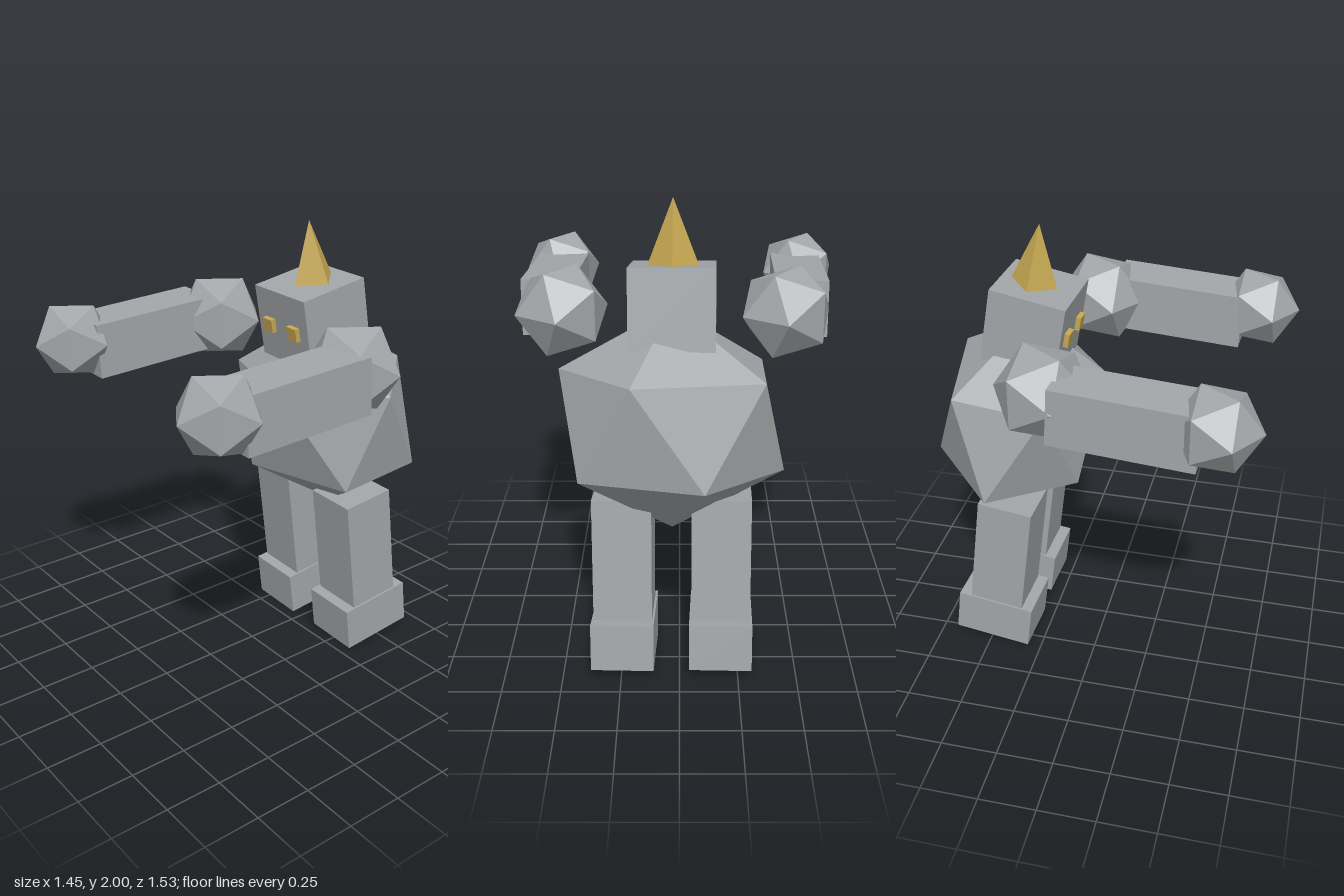
import * as THREE from 'three';
import { ConvexGeometry } from 'three/addons/geometries/ConvexGeometry.js';

export function createModel() {
  const model = new THREE.Group();
  model.name = 'stoneGolem';
  const stone = new THREE.MeshStandardMaterial({ name: 'stoneGrey', color: 0xa3a6a9, flatShading: true });
  const gold = new THREE.MeshStandardMaterial({ name: 'gold', color: 0xc6a852, flatShading: true });

  function add(parent, name, geometry, material, pos, rot = [0, 0, 0]) {
    const mesh = new THREE.Mesh(geometry, material);
    mesh.name = name;
    mesh.position.set(...pos);
    mesh.rotation.set(...rot);
    parent.add(mesh);
    return mesh;
  }
  const box = (w, h, d) => new THREE.BoxGeometry(w, h, d);
  const YAW = -0.035;

  // torso: stretched icosahedron, six corners and their opposites
  const corners = [
    [0, 0.47, 0.055], [0.13, 0.17, 0.36], [0.465, 0.21, 0.04],
    [0.16, 0.25, -0.3], [-0.37, 0.23, -0.19], [-0.38, 0.19, 0.21],
  ].map((p) => new THREE.Vector3(...p));
  const hull = new ConvexGeometry([...corners, ...corners.map((p) => p.clone().negate())]);
  add(model, 'torso', hull, stone, [0.03, 1.1, -0.4]);

  // head with two raised eyes
  const head = new THREE.Group();
  head.name = 'head';
  head.position.set(0.025, 1.568, -0.322);
  head.rotation.set(0.172, YAW, 0);
  model.add(head);
  add(head, 'skull', box(0.347, 0.33, 0.335), stone, [0, 0, 0]);
  for (const s of [-1, 1]) {
    add(head, s > 0 ? 'leftEye' : 'rightEye', box(0.063, 0.061, 0.05), gold, [s * 0.085, 0, 0.165]);
  }

  // four-sided horn
  add(model, 'horn', new THREE.ConeGeometry(0.105, 0.272, 4), gold, [0.025, 1.864, -0.304], [0.12, YAW, 0]);

  // arms stretched forwards: shoulder, forearm and fist
  const boulder = (r) => new THREE.IcosahedronGeometry(r, 0).rotateY(0.98);
  const arms = [
    { side: 'left', shoulder: [0.497, 1.49, -0.13], arm: [0.553, 1.463, 0.23], fist: [0.56, 1.482, 0.593] },
    { side: 'right', shoulder: [-0.45, 1.49, -0.155], arm: [-0.532, 1.463, 0.21], fist: [-0.563, 1.482, 0.563] },
  ];
  for (const a of arms) {
    add(model, a.side + 'Shoulder', boulder(0.207), stone, a.shoulder);
    add(model, a.side + 'Arm', box(0.225, 0.245, 0.6), stone, a.arm, [0.055, YAW, 0]);
    add(model, a.side + 'Fist', boulder(0.182), stone, a.fist);
  }

  // legs and feet, leaning back
  for (const s of [-1, 1]) {
    const side = s > 0 ? 'left' : 'right';
    const x = 0.029 + s * 0.209;
    add(model, side + 'Leg', box(0.25, 0.56, 0.25), stone, [x, 0.49, -0.427], [0.122, YAW, 0]);
    add(model, side + 'Foot', box(0.268, 0.207, 0.357), stone, [x, 0.128, -0.473], [0.122, YAW, 0]);
  }
  return model;
}
